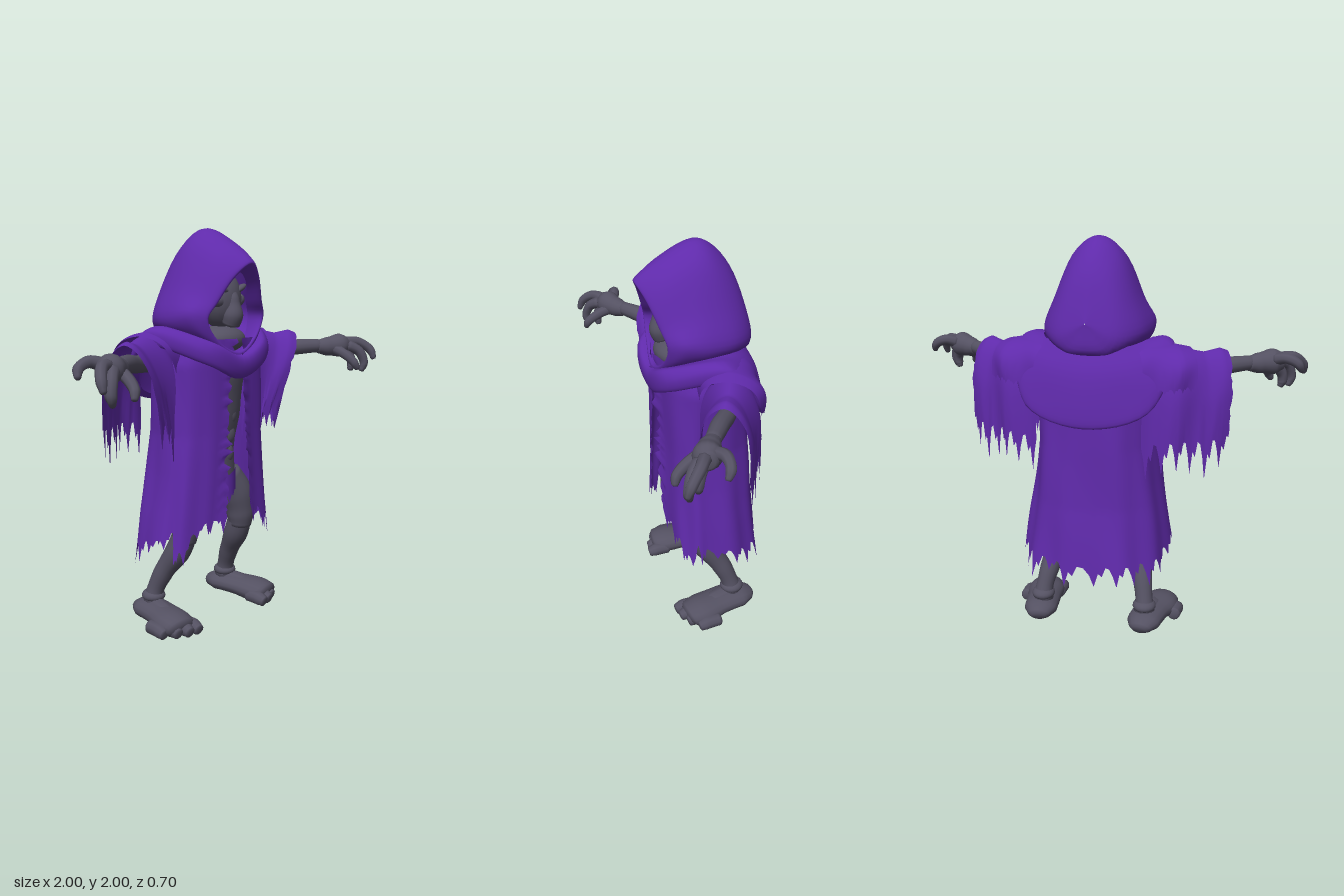
import * as THREE from 'three';

const V = (x, y, z) => new THREE.Vector3(x, y, z);
const cloth = new THREE.MeshStandardMaterial({ color: 0x5f2aaa, side: THREE.DoubleSide });
cloth.name = 'purple cloth';
const skin = new THREE.MeshStandardMaterial({ color: 0x545162 });
skin.name = 'grey skin';

// repeatable noise in 0..1
const rnd = (i) => { const s = Math.sin(i * 127.1 + 11.7) * 43758.5453; return s - Math.floor(s); };
// ragged edge: groups of six columns, each with one long point and smaller nicks
const tatter = (i, size) => size * [0.1, 0.45, 1, 0.35, 0.5, 0.05][i % 6] * (0.3 + 0.7 * rnd(Math.floor(i / 6)));
// linear lookup in [[key, value], ...] with rising keys
function lookup(table, k) {
  for (let i = 1; i < table.length; i++) {
    const [a, p] = table[i - 1], [b, q] = table[i];
    if (k <= b) return p + (q - p) * Math.max(0, (k - a) / (b - a));
  }
  return table[table.length - 1][1];
}

// grid surface from f(u, v, column, row)
function surface(nu, nv, f, wrap = false) {
  const pos = [], idx = [], cols = wrap ? nu : nu + 1;
  for (let j = 0; j <= nv; j++)
    for (let i = 0; i < cols; i++) pos.push(...f(i / nu, j / nv, i, j).toArray());
  for (let j = 0; j < nv; j++)
    for (let i = 0; i < nu; i++) {
      const k = (i + 1) % cols, a = j * cols + i, b = j * cols + k;
      idx.push(a, b, b + cols, a, b + cols, a + cols);
    }
  const g = new THREE.BufferGeometry();
  g.setAttribute('position', new THREE.Float32BufferAttribute(pos, 3));
  g.setIndex(idx);
  g.computeVertexNormals();
  return g;
}

// closed limb through [x, y, z, radius] points, with rounded ends
function limb(pts, sides = 12, steps = 20) {
  const curve = new THREE.CatmullRomCurve3(pts.map((p) => V(p[0], p[1], p[2])));
  const { normals, binormals } = curve.computeFrenetFrames(steps, false);
  const n = pts.length - 1;
  return surface(sides, steps + 2, (u, v, i, j) => {
    const k = THREE.MathUtils.clamp(j - 1, 0, steps), t = k / steps;
    const m = Math.min(Math.floor(t * n), n - 1), e = t * n - m;
    let r = THREE.MathUtils.lerp(pts[m][3], pts[m + 1][3], e * e * (3 - 2 * e));
    if (j === 0 || j === steps + 2) r = 0.0001;
    else if (k === 0 || k === steps) r *= 0.7;
    const a = u * Math.PI * 2;
    return curve.getPoint(t).addScaledVector(normals[k], r * Math.cos(a)).addScaledVector(binormals[k], r * Math.sin(a));
  }, true);
}

// skin through mirrored half rings, each listed from one centre point to the other
function ringLoft(halves, nu, nv) {
  const rings = halves.map((h) => {
    const other = h.slice(1, -1).reverse().map(([x, y, z]) => [-x, y, z]);
    return new THREE.CatmullRomCurve3([...h, ...other].map((p) => V(...p)), true, 'catmullrom', 0.5);
  });
  return surface(nu, nv, (u, v) =>
    new THREE.CatmullRomCurve3(rings.map((c) => c.getPoint(u)), false, 'catmullrom', 0.5).getPoint(v), true);
}

export function createModel() {
  const model = new THREE.Group();
  const add = (name, geo, mat) => {
    const m = new THREE.Mesh(geo, mat);
    m.name = name;
    model.add(m);
    return m;
  };
  const ball = (name, x, y, z, a, b, c, tilt = 0) => {
    const m = add(name, new THREE.SphereGeometry(1, 20, 14), skin);
    m.position.set(x, y, z);
    m.scale.set(a, b, c);
    m.rotation.z = tilt;
  };

  // hood, from the inner lip over the crown to the back
  add('hood', ringLoft([
    [[0, 1.79, 0.17], [0.08, 1.74, 0.15], [0.14, 1.64, 0.1], [0.175, 1.56, 0.08], [0.13, 1.45, 0.09], [0, 1.395, 0.11]],
    [[0, 1.82, 0.245], [0.085, 1.755, 0.215], [0.15, 1.645, 0.175], [0.195, 1.565, 0.155], [0.13, 1.465, 0.16], [0, 1.405, 0.175]],
    [[0, 1.85, 0.245], [0.1, 1.785, 0.21], [0.175, 1.66, 0.17], [0.225, 1.57, 0.14], [0.15, 1.45, 0.155], [0, 1.38, 0.175]],
    [[0, 1.93, 0.13], [0.115, 1.86, 0.125], [0.2, 1.69, 0.1], [0.262, 1.58, 0.08], [0.18, 1.46, 0.1], [0, 1.38, 0.1]],
    [[0, 2.0, -0.02], [0.12, 1.92, -0.02], [0.21, 1.72, -0.02], [0.268, 1.57, -0.03], [0.2, 1.48, -0.02], [0, 1.43, 0]],
    [[0, 1.965, -0.12], [0.11, 1.89, -0.125], [0.19, 1.71, -0.15], [0.235, 1.56, -0.17], [0.165, 1.485, -0.16], [0, 1.46, -0.14]],
    [[0, 1.84, -0.215], [0.07, 1.8, -0.22], [0.125, 1.68, -0.245], [0.145, 1.56, -0.27], [0.1, 1.49, -0.275], [0, 1.475, -0.28]],
    [[0, 1.624, -0.293], [0.001, 1.623, -0.293], [0.002, 1.621, -0.293], [0.002, 1.619, -0.293], [0.001, 1.617, -0.293], [0, 1.616, -0.293]],
  ], 48, 36), cloth);

  // cowl draped over the shoulders, low at the back
  add('cowl', ringLoft([
    [[0, 1.4, 0.13], [0.16, 1.46, 0.13], [0.27, 1.53, -0.05], [0.18, 1.51, -0.22], [0, 1.5, -0.25]],
    [[0, 1.385, 0.2], [0.19, 1.46, 0.175], [0.335, 1.535, -0.06], [0.24, 1.42, -0.26], [0, 1.38, -0.31]],
    [[0, 1.335, 0.215], [0.23, 1.42, 0.175], [0.385, 1.505, -0.08], [0.3, 1.3, -0.275], [0, 1.22, -0.34]],
    [[0, 1.275, 0.19], [0.22, 1.36, 0.165], [0.385, 1.44, -0.09], [0.3, 1.21, -0.285], [0, 1.13, -0.34]],
    [[0, 1.3, 0.13], [0.19, 1.37, 0.12], [0.33, 1.43, -0.09], [0.26, 1.22, -0.25], [0, 1.15, -0.29]],
  ], 48, 20), cloth);

  // robe, open at the front, with a torn hem
  const width = [[0.3, 0.395], [0.6, 0.355], [0.8, 0.325], [1, 0.3], [1.35, 0.3], [1.47, 0.25]];
  const back = [[0.3, 0.36], [0.7, 0.31], [1, 0.295], [1.2, 0.28], [1.47, 0.24]];
  const gap = [[0.5, 0.12], [0.7, 0.1], [0.9, 0.085], [1.2, 0.06], [1.47, 0.04]];
  const hem = [[0, 0.63], [0.3, 0.58], [0.6, 0.53], [0.75, 0.46], [1, 0.44], [1.15, 0.55], [1.4, 0.5], [2, 0.44], [3.15, 0.42]];
  const bend = (k) => Math.sign(k) * Math.abs(k) ** 0.8;
  add('robe', surface(132, 44, (u, v, i, j) => {
    const front = 1 - Math.abs(2 * u - 1);
    const y = THREE.MathUtils.lerp(1.47, lookup(hem, front * Math.PI), v) - tatter(i, 0.13) * v ** 5;
    const w = lookup(width, y);
    const start = Math.asin((lookup(gap, y) / w) ** 1.25);
    const a = start + u * (2 * Math.PI - 2 * start);
    const fold = 1 + 0.02 * Math.sin(a * 11) * v + 0.012 * Math.sin(a * 5 + y * 9);
    // frayed front edges
    const fray = Math.max(0, 1 - front / 0.04) * rnd(j + (u < 0.5 ? 0 : 50)) ** 2;
    const c = bend(Math.cos(a));
    return V((w * bend(Math.sin(a)) - Math.sign(0.5 - u) * 0.045 * fray) * fold, y,
      c * (c > 0 ? 0.165 : lookup(back, y)) * fold + 0.03 * fray);
  }), cloth);

  // torn loincloth, slung lower on one side
  add('loincloth', surface(12, 5, (u, v, i) => {
    const y = THREE.MathUtils.lerp(0.82 - 0.07 * (1 - u), 0.7 - tatter(i + 2, 0.08), v);
    return V(-0.11 + 0.2 * u, y, 0.13 - 0.05 * (2 * u - 1) ** 2);
  }), cloth);

  // head with a long mask-like face, broad neck
  ball('head', 0, 1.66, 0.05, 0.11, 0.145, 0.105);
  add('muzzle', limb([[0, 1.71, 0.12, 0.022], [0, 1.65, 0.135, 0.034], [0, 1.58, 0.135, 0.052], [0, 1.53, 0.12, 0.045]], 16), skin);
  ball('neck', 0, 1.46, 0.05, 0.145, 0.07, 0.115);

  // lean torso
  const torso = add('torso', limb([[0, 0.64, 0, 0.12], [0, 0.73, 0, 0.14], [0, 0.9, 0, 0.13], [0, 1.12, 0, 0.17], [0, 1.3, 0, 0.19], [0, 1.43, 0, 0.12]], 24), skin);
  torso.scale.z = 0.7;

  for (const s of [1, -1]) {
    const side = s > 0 ? 'left' : 'right';
    const part = (name, pts, sides) => add(side + name, limb(pts.map(([x, y, z, r]) => [x * s, y, z, r]), sides), skin);

    // face and belly details
    ball(side + 'Brow', s * 0.055, 1.705, 0.122, 0.06, 0.016, 0.022, s * 0.4);
    ball(side + 'Cheek', s * 0.07, 1.65, 0.09, 0.05, 0.035, 0.045, s * 0.4);
    for (let k = 0; k < 3; k++) ball(side + 'BellyMuscle', s * 0.036, 0.88 + k * 0.1, 0.074 + k * 0.009, 0.038, 0.048, 0.022);

    // sleeve hanging open, its front edge cut back, and a short layer over the shoulder
    const sleeve = (name, end, swell, drop, tear) => add(side + name, surface(36, 36, (u, v, i, j) => {
      const t = v * end, a = 2 * u - 1, b = Math.abs(a);
      const half = lookup([[0, 0.13], [0.4, 0.15], [0.75, 0.13], [1, 0.125]], t) + swell;
      const across = Math.sign(a) * half * (1 - (1 - b) ** 2.2) * (1 + 0.05 * Math.sin(t * 13 + b * 4));
      const top = lookup([[0, 1.5], [0.45, 1.495], [0.75, 1.465], [0.92, 1.48], [1, 1.465]], t) + swell;
      const torn = tatter(j + (a > 0 ? 60 : 3), tear) * Math.max(0, (b - 0.7) / 0.3);
      const nick = j === 36 ? tatter(i, tear * 0.3) * b : 0;
      const y = top - (drop - 0.06 * t) * b ** 1.6 - torn;
      const along = t * (1 - (a < 0 ? 0.32 : 0.05) * b * b) - nick;
      return V(s * (0.2 + 0.42 * along + across * 0.5), y, -0.14 + 0.18 * along * (0.6 + 0.4 * along) - across * 0.87);
    }), cloth);
    sleeve('Sleeve', 1, 0, 0.45, 0.2);
    sleeve('ShoulderLayer', 0.6, 0.012, 0.2, 0.03);

    // arm and hand
    part('Arm', [[0.25, 1.36, -0.12, 0.05], [0.48, 1.365, -0.035, 0.042], [0.62, 1.385, 0.06, 0.042], [0.74, 1.39, 0.14, 0.036]]);
    part('Palm', [[0.71, 1.385, 0.12, 0.036], [0.77, 1.385, 0.16, 0.052], [0.83, 1.39, 0.19, 0.064], [0.885, 1.395, 0.205, 0.042]], 16);
    const fingers = [
      [[0.84, 1.405, 0.16], [0.9, 1.42, 0.135], [0.955, 1.395, 0.135], [0.975, 1.355, 0.155]],
      [[0.86, 1.405, 0.21], [0.925, 1.405, 0.25], [0.975, 1.36, 0.305], [0.98, 1.31, 0.325]],
      [[0.85, 1.39, 0.23], [0.9, 1.355, 0.28], [0.92, 1.29, 0.3], [0.905, 1.245, 0.29]],
      [[0.84, 1.37, 0.21], [0.875, 1.32, 0.24], [0.88, 1.28, 0.245], [0.868, 1.25, 0.24]],
      [[0.78, 1.38, 0.18], [0.79, 1.345, 0.26], [0.805, 1.3, 0.315], [0.82, 1.265, 0.325]],
    ];
    for (const f of fingers) part('Finger', f.map((p, k) => [...p, [0.031, 0.027, 0.024, 0.015][k]]), 8);

    // leg with a heavy knee and calf
    part('Thigh', [[0.12, 0.76, -0.03, 0.08], [0.185, 0.64, 0, 0.085], [0.208, 0.53, 0.01, 0.074], [0.212, 0.44, 0.005, 0.06]], 16);
    part('Shin', [[0.207, 0.53, 0.02, 0.062], [0.22, 0.41, -0.025, 0.066], [0.248, 0.29, -0.1, 0.052], [0.268, 0.19, -0.145, 0.045], [0.277, 0.1, -0.165, 0.055]], 16);
    ball(side + 'Ankle', s * 0.274, 0.145, -0.16, 0.06, 0.035, 0.062);

    // foot, flattened, turned slightly out
    const foot = part('Foot', [[0.27, 0.1, -0.27, 0.055], [0.28, 0.12, -0.19, 0.088], [0.297, 0.12, -0.08, 0.09], [0.318, 0.105, 0.02, 0.1], [0.33, 0.085, 0.11, 0.085]], 16);
    foot.scale.y = 0.6;
    part('Instep', [[0.277, 0.09, -0.15, 0.055], [0.295, 0.08, -0.07, 0.055], [0.31, 0.06, 0.05, 0.04]]);
    for (let k = 0; k < 4; k++) {
      const x = 0.25 + k * 0.053, z = 0.13 - k * k * 0.009;
      part('Toe', [[x, 0.048, z - 0.1, 0.034], [x + 0.003, 0.046, z - 0.02, 0.036], [x + 0.006, 0.034, z + 0.022, 0.028]], 10);
    }
  }
  return model;
}
